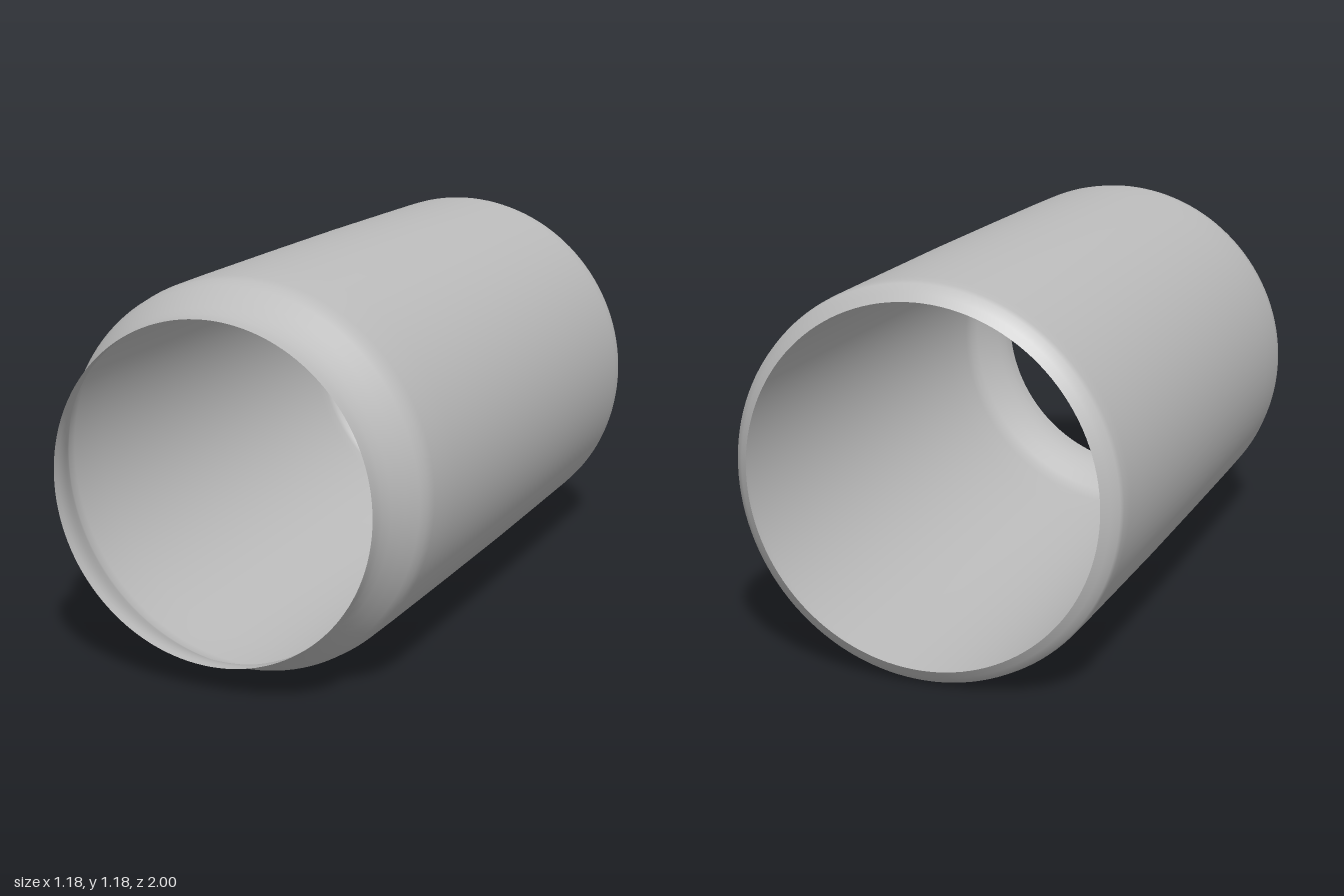
import * as THREE from 'three';

export function createModel() {
  const model = new THREE.Group();
  model.name = 'openCan';

  const metal = new THREE.MeshStandardMaterial({ color: 0xbcbcbc, side: THREE.DoubleSide });
  metal.name = 'plain grey metal';

  // Shell profile as [radius, z]: chamfered rear rim, faintly bulged wall, pinched front neck
  const profile = [
    [0.537, -1], [0.56, -0.983], [0.582, -0.965], [0.587, -0.945], [0.588, -0.9],
    [0.59, -0.6], [0.592, -0.25], [0.591, 0.2], [0.589, 0.6], [0.587, 0.76],
    [0.582, 0.8], [0.569, 0.825], [0.545, 0.87], [0.522, 0.915],
    [0.51, 0.95], [0.506, 0.975], [0.505, 1],
  ].map(([r, z]) => new THREE.Vector2(r, z));

  // Thin open tube lying along z
  const shell = new THREE.Mesh(new THREE.LatheGeometry(profile, 128), metal);
  shell.name = 'canShell';
  shell.rotation.x = Math.PI / 2;
  shell.position.y = 0.594;
  model.add(shell);

  return model;
}
